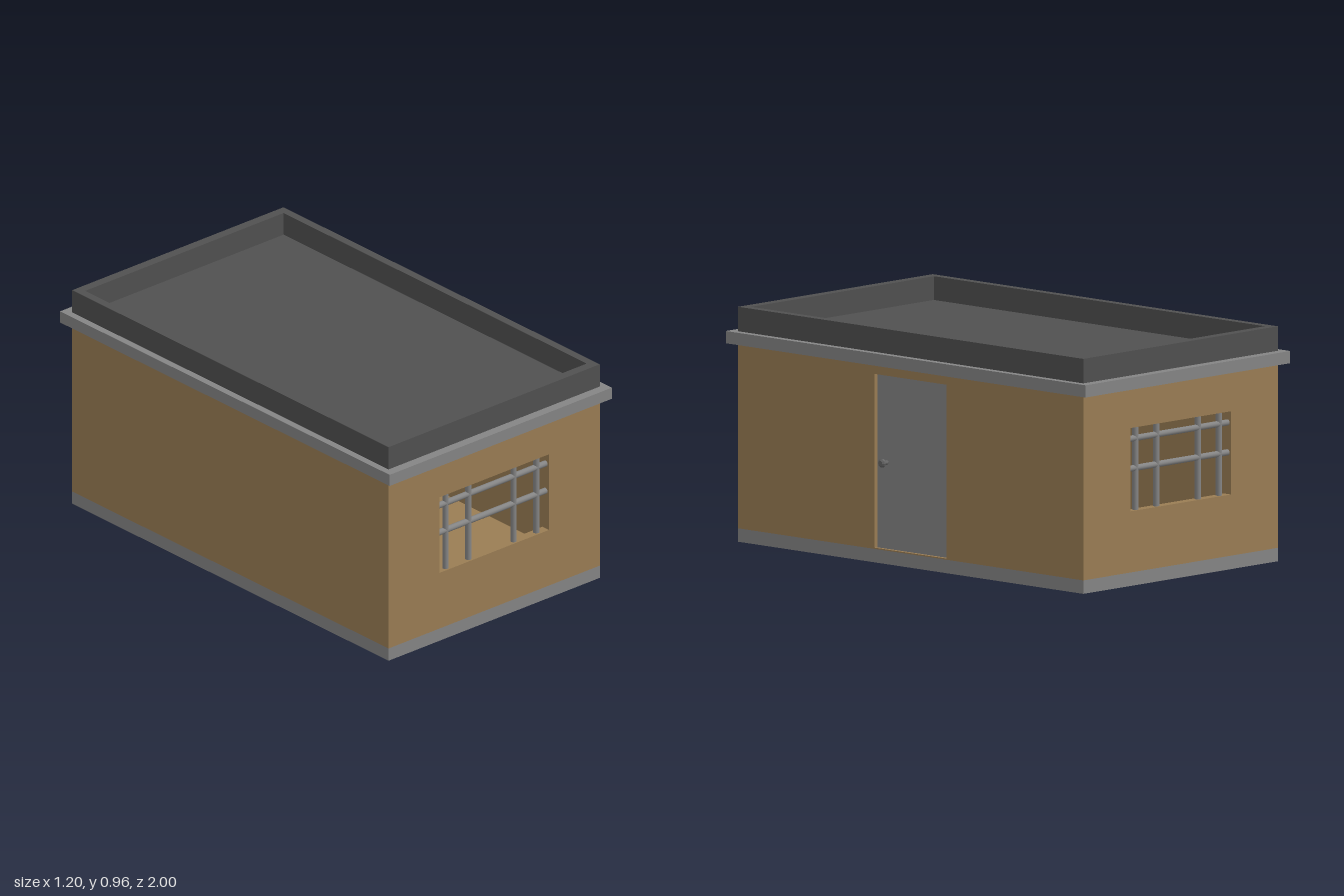
import * as THREE from 'three';

const W = 0.57, L = 0.96;            // half width and half length of the walls
const BASE = 0.055, EAVE = 0.81;     // wall bottom and top
const T = 0.04;                      // wall thickness
const NICHE = 0.02;                  // depth of the door recess

const material = (color) => new THREE.MeshStandardMaterial({ color });

export function createModel() {
  const building = new THREE.Group();
  building.name = 'building';

  const brown = material(0x9a7d54);
  const grey = material(0x858585);
  const dark = material(0x505050);

  const add = (name, geometry, mat, x = 0, y = 0, z = 0, parent = building) => {
    const mesh = new THREE.Mesh(geometry, mat);
    mesh.name = name;
    mesh.position.set(x, y, z);
    parent.add(mesh);
    return mesh;
  };

  // Box from its half width, half length and height range
  const slab = (name, mat, hw, hl, y0, y1) =>
    add(name, new THREE.BoxGeometry(hw * 2, y1 - y0, hl * 2), mat, 0, (y0 + y1) / 2, 0);

  // Rectangular panel with one rectangular hole, extruded along +z
  const rect = (path, x0, y0, x1, y1) => {
    path.moveTo(x0, y0);
    path.lineTo(x1, y0);
    path.lineTo(x1, y1);
    path.lineTo(x0, y1);
    path.closePath();
    return path;
  };
  const panel = (outer, hole, depth) => {
    const shape = rect(new THREE.Shape(), ...outer);
    shape.holes.push(rect(new THREE.Path(), ...hole));
    return new THREE.ExtrudeGeometry(shape, { depth, bevelEnabled: false });
  };

  // Plinth, floor and ceiling
  slab('plinth', grey, W, L, 0, BASE);
  slab('floor', brown, W - T, L - T, BASE, BASE + 0.005);
  slab('ceiling', brown, W - T, L - T, EAVE - 0.005, EAVE);

  // End walls, each with a barred window
  const win = { x: 0.295, y0: 0.305, y1: 0.645 };
  const endWall = panel([-W, BASE, W, EAVE], [-win.x, win.y0, win.x, win.y1], T);
  const upright = new THREE.CylinderGeometry(0.013, 0.013, win.y1 - win.y0, 12);
  const rail = new THREE.CylinderGeometry(0.013, 0.013, win.x * 2, 12).rotateZ(Math.PI / 2);
  for (const [side, turn] of [['front', 0], ['back', Math.PI]]) {
    const end = new THREE.Group();
    end.name = side + 'End';
    end.rotation.y = turn;
    building.add(end);
    add(side + 'Wall', endWall, brown, 0, 0, L - T, end);
    for (const x of [-0.245, -0.122, 0.122, 0.245])
      add('windowUpright', upright, grey, x, (win.y0 + win.y1) / 2, L - T / 2, end);
    for (const y of [0.475, 0.597])
      add('windowRail', rail, grey, 0, y, L - T / 2, end);
  }

  // Plain side wall
  const height = EAVE - BASE, midY = (EAVE + BASE) / 2, inner = L - T;
  add('rightWall', new THREE.BoxGeometry(T, height, inner * 2), brown, -W + T / 2, midY, 0);

  // Door side wall: a solid inner layer and an outer layer with the door niche
  add('doorWallInner', new THREE.BoxGeometry(T - NICHE, height, inner * 2), brown,
    W - (T + NICHE) / 2, midY, 0);
  const doorLayer = panel([-inner, BASE, inner, EAVE], [-0.2, 0.06, 0.2, 0.77], NICHE);
  add('doorWall', doorLayer, brown, W - NICHE, 0, 0).rotation.y = Math.PI / 2;

  // Door with a turned knob
  const door = new THREE.Group();
  door.name = 'door';
  building.add(door);
  add('doorPanel', new THREE.BoxGeometry(0.005, 0.71, 0.4), grey, W - NICHE + 0.0025, 0.415, 0, door);
  const knobProfile = [[0, 0], [0.009, 0], [0.009, 0.022], [0.018, 0.028], [0.018, 0.036], [0.011, 0.043], [0, 0.043]]
    .map(([r, h]) => new THREE.Vector2(r, h));
  const knobMaterial = material(0x666666);
  knobMaterial.flatShading = true;
  const knob = add('knob', new THREE.LatheGeometry(knobProfile, 10), knobMaterial,
    W - NICHE + 0.003, 0.413, 0.145, door);
  knob.rotation.z = -Math.PI / 2;

  // Overhanging eave, roof deck and hollow parapet
  slab('eave', grey, 0.6, 1, EAVE, 0.86);
  const inW = W - 0.035, inL = L - 0.04;
  slab('roofDeck', dark, inW, inL, 0.86, 0.863);
  const parapet = panel([-W, -L, W, L], [-inW, -inL, inW, inL], 0.1);
  add('parapet', parapet, dark, 0, 0.86, 0).rotation.x = -Math.PI / 2;

  return building;
}
